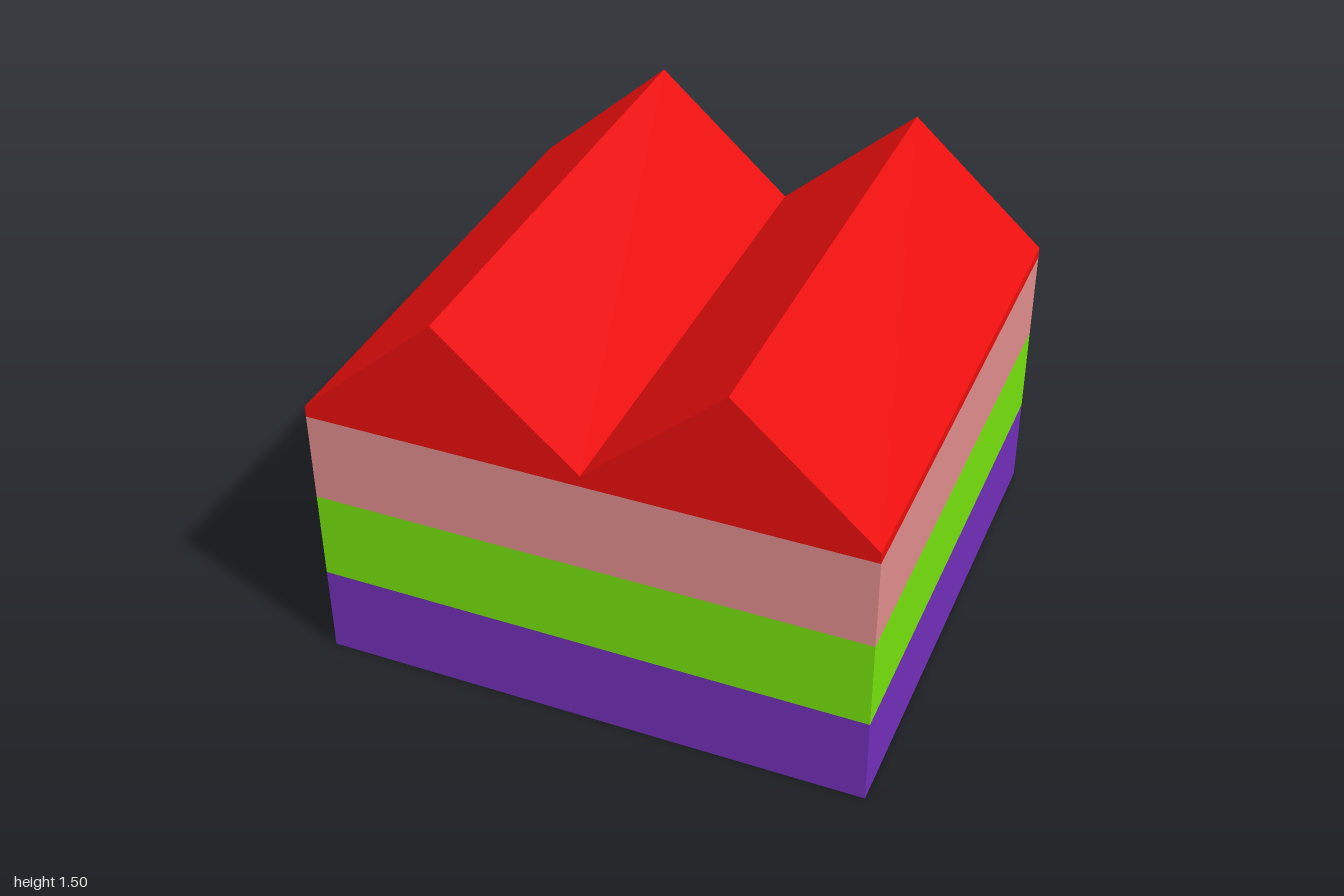
import * as THREE from 'three';

const WIDTH = 2;
const DEPTH = 1.89;
const FLOOR = 0.338;

function addPart(group, name, geometry, color) {
  const material = new THREE.MeshStandardMaterial({ color });
  const mesh = new THREE.Mesh(geometry, material);
  mesh.name = name;
  group.add(mesh);
  return mesh;
}

export function createModel() {
  const group = new THREE.Group();
  group.name = 'twinGableBuilding';

  // Three stacked storeys
  const storeys = [
    ['groundFloor', 0x722eb8],
    ['middleFloor', 0x75e00d],
    ['upperFloor', 0xe08c8c],
  ];
  storeys.forEach(([name, color], i) => {
    const storey = addPart(group, name, new THREE.BoxGeometry(WIDTH, FLOOR, DEPTH), color);
    storey.position.y = FLOOR * (i + 0.5);
  });

  // Double gable roof with a shallow eaves band, extruded front to back
  const base = FLOOR * storeys.length;
  const eaves = 1.055;
  const ridge = 1.5;
  const profile = new THREE.Shape([
    [-1, base], [1, base], [1, eaves], [0.5, ridge],
    [0, eaves], [-0.5, ridge], [-1, eaves],
  ].map(([x, y]) => new THREE.Vector2(x, y)));
  const roof = new THREE.ExtrudeGeometry(profile, { depth: DEPTH, bevelEnabled: false });
  roof.translate(0, 0, -DEPTH / 2);
  addPart(group, 'doubleGableRoof', roof, 0xea0d0d);

  return group;
}
